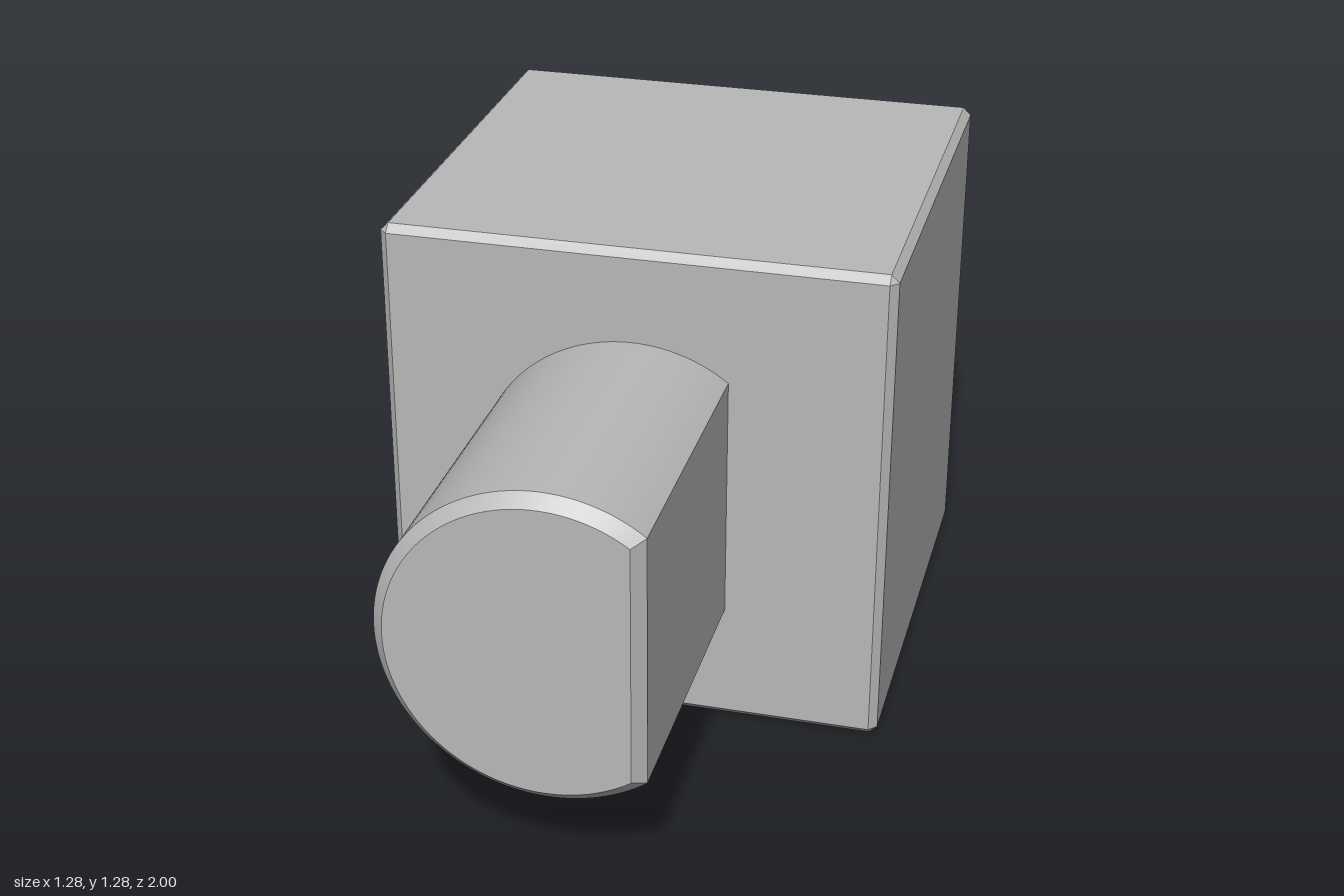
import * as THREE from 'three';
import { toCreasedNormals } from 'three/addons/utils/BufferGeometryUtils.js';
import { ConvexGeometry } from 'three/addons/geometries/ConvexGeometry.js';

// Box with bevelled edges: each corner is cut back along all three axes
function bevelledBox(w, h, d, bevel) {
  const points = [];
  for (const sx of [-1, 1]) for (const sy of [-1, 1]) for (const sz of [-1, 1]) {
    for (let axis = 0; axis < 3; axis++) {
      const half = [w / 2, h / 2, d / 2].map((v, i) => (i === axis ? v : v - bevel));
      points.push(new THREE.Vector3(sx * half[0], sy * half[1], sz * half[2]));
    }
  }
  return new ConvexGeometry(points);
}

// Round bar along z with one flat side on +x, lofted through sections [z, radius, flat x]
function flattedBar(sections, segments) {
  const positions = [];
  const rings = sections.map(([z, r, flat]) => {
    const start = Math.acos(flat / r);
    return Array.from({ length: segments + 1 }, (_, i) => {
      const a = start + (i / segments) * 2 * (Math.PI - start);
      return [r * Math.cos(a), r * Math.sin(a), z];
    });
  });
  const tri = (...corners) => corners.forEach((c) => positions.push(...c));
  const count = segments + 1;
  for (let i = 0; i < count; i++) {
    const j = (i + 1) % count;
    for (let k = 0; k < rings.length - 1; k++) {
      const lower = rings[k], upper = rings[k + 1];
      tri(lower[i], lower[j], upper[j]);
      tri(lower[i], upper[j], upper[i]);
    }
    // End caps
    const last = rings[rings.length - 1];
    tri([0, 0, sections[sections.length - 1][0]], last[i], last[j]);
    tri([0, 0, sections[0][0]], rings[0][j], rings[0][i]);
  }
  const geometry = new THREE.BufferGeometry();
  geometry.setAttribute('position', new THREE.Float32BufferAttribute(positions, 3));
  return toCreasedNormals(geometry, Math.PI / 6);
}

export function createModel() {
  const model = new THREE.Group();
  const grey = new THREE.MeshStandardMaterial({ color: 0xb8b8b8 });
  grey.name = 'plain grey';

  // Block at the back
  const block = new THREE.Mesh(bevelledBox(1.28, 1.28, 1.2, 0.02), grey);
  block.name = 'block';
  block.position.set(0, 0.64, -0.4);
  model.add(block);

  // Shaft with one flat side and a bevelled front end
  const shaft = new THREE.Mesh(
    flattedBar([[0.2, 0.4, 0.24], [0.97, 0.4, 0.24], [1, 0.37, 0.21]], 96), grey);
  shaft.name = 'shaft';
  shaft.position.y = 0.64;
  model.add(shaft);

  return model;
}
